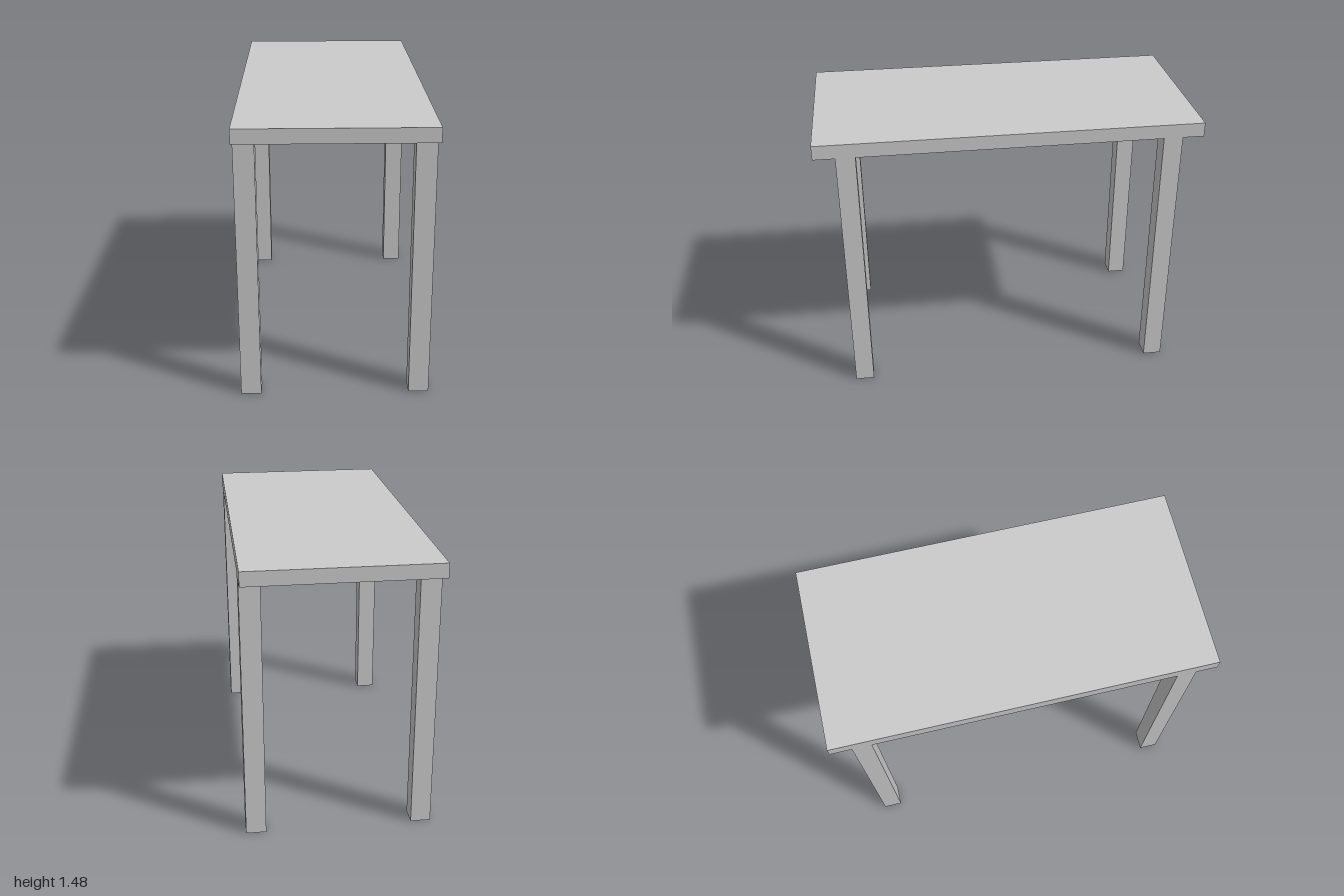
import * as THREE from 'three';

export function createModel() {
  const group = new THREE.Group();
  const material = new THREE.MeshStandardMaterial({ color: 0xcccccc, flatShading: true });

  const topWidth = 0.98, topDepth = 2, topThickness = 0.075;
  const legHeight = 1.4, legWidth = 0.105, legDepth = 0.1, legZ = 0.838;

  function addBox(name, w, h, d, x, y, z) {
    const mesh = new THREE.Mesh(new THREE.BoxGeometry(w, h, d), material);
    mesh.name = name;
    mesh.position.set(x, y, z);
    group.add(mesh);
  }

  // Table top
  addBox('tableTop', topWidth, topThickness, topDepth, 0, legHeight + topThickness / 2, 0);

  // Four legs, flush with the long sides and set in from the ends
  const legX = (topWidth - legWidth) / 2;
  for (const [side, sx] of [['Left', 1], ['Right', -1]]) {
    for (const [end, sz] of [['front', 1], ['back', -1]]) {
      addBox(`${end}${side}Leg`, legWidth, legHeight, legDepth, sx * legX, legHeight / 2, sz * legZ);
    }
  }

  return group;
}
